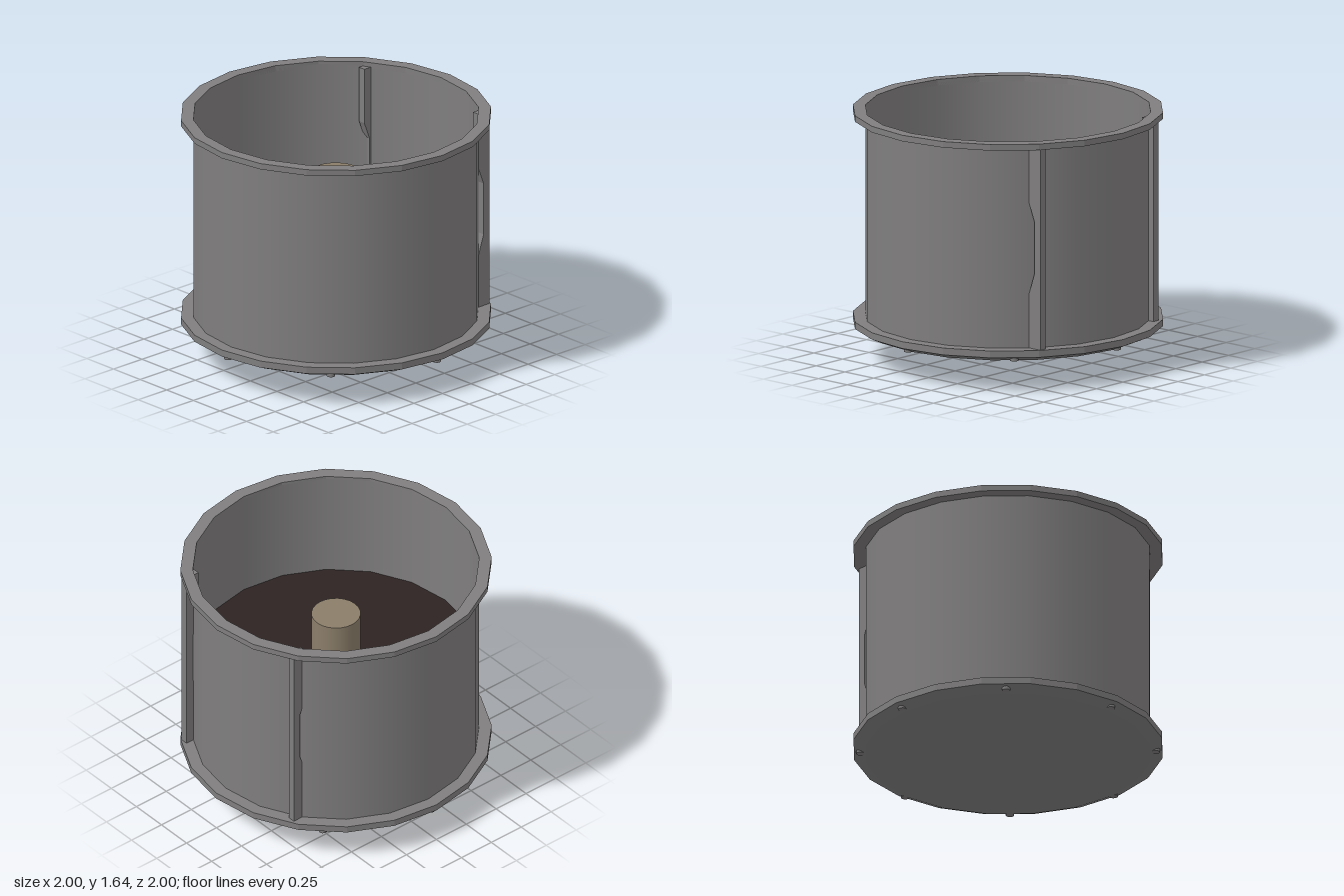
import * as THREE from 'three';
import { toCreasedNormals } from 'three/addons/utils/BufferGeometryUtils.js';

const SIDES = 20;
const WALL_R = 0.92;

export function createModel() {
  const group = new THREE.Group();
  const steel = new THREE.MeshStandardMaterial({ color: 0x807e7e });
  steel.name = 'steel grey';
  const wallSteel = new THREE.MeshStandardMaterial({ color: 0x807e7e, side: THREE.DoubleSide });
  wallSteel.name = 'steel grey two sided';
  const dark = new THREE.MeshStandardMaterial({ color: 0x2d2323 });
  dark.name = 'dark brown';
  const beige = new THREE.MeshStandardMaterial({ color: 0x8b7e6a });
  beige.name = 'beige';

  const add = (name, geometry, material, x = 0, y = 0, z = 0) => {
    const mesh = new THREE.Mesh(geometry, material);
    mesh.name = name;
    mesh.position.set(x, y, z);
    group.add(mesh);
    return mesh;
  };
  const lathe = (pts) =>
    new THREE.LatheGeometry(pts.map(([r, y]) => new THREE.Vector2(r, y)), SIDES);

  // Thin round wall, open at the top
  add('wall', new THREE.CylinderGeometry(WALL_R, WALL_R, 1.37, SIDES, 1, true), wallSteel, 0, 0.935, 0);

  // Faceted flanges at both ends of the wall
  for (const [name, y0, y1] of [['topRim', 1.6, 1.64], ['bottomRim', 0.235, 0.28]]) {
    const ring = lathe([[WALL_R, y0], [1, y0], [1, y1], [WALL_R, y1], [WALL_R, y0]]);
    add(name, toCreasedNormals(ring, 0.1), steel);
  }

  // Shallow conical underside with a bevelled edge
  add('conicalBase', toCreasedNormals(lathe([[0, 0], [WALL_R, 0.2], [1, 0.235]]), 0.15), steel);

  // Bolt heads set into the bevel
  for (let i = 0; i < 8; i++) {
    const a = (i * Math.PI) / 4;
    add('bolt', new THREE.CylinderGeometry(0.028, 0.028, 0.03, 10), steel,
      Math.sin(a) * 0.945, 0.221, Math.cos(a) * 0.945);
  }

  // Inner floor and central post
  add('floor', new THREE.CylinderGeometry(WALL_R - 0.002, WALL_R - 0.002, 0.02, SIDES), dark, 0, 0.88, 0);
  add('post', new THREE.CylinderGeometry(0.158, 0.158, 0.35, 24), beige, 0, 1.065, 0);

  // Two upright ribs through the back wall, notched on the inner edge
  const profile = [
    [0.81, 0.26], [0.81, 1.61], [0.71, 1.61], [0.71, 1.24], [0.757, 1.12],
    [0.757, 0.77], [0.71, 0.63], [0.71, 0.26],
  ];
  const ribShape = new THREE.Shape(profile.map(([d, y]) => new THREE.Vector2(d, y)));
  for (const [name, x] of [['leftRib', 0.575], ['rightRib', -0.495]]) {
    const rib = add(name, new THREE.ExtrudeGeometry(ribShape, { depth: 0.05, bevelEnabled: false }), steel, x, 0, 0);
    rib.rotation.y = Math.PI / 2;
    rib.position.x = x - 0.05;
  }

  return group;
}
